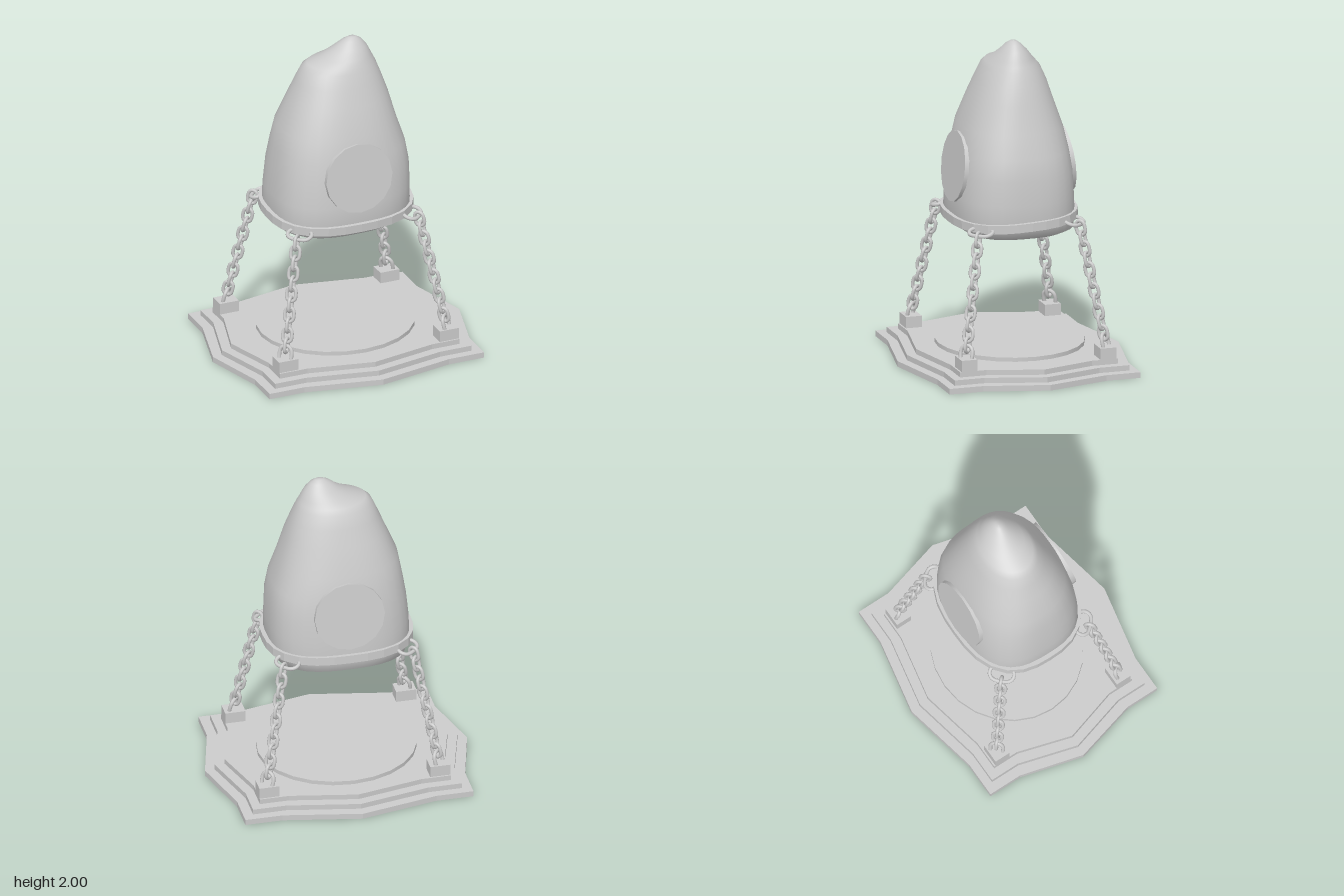
import * as THREE from 'three';

const mat = new THREE.MeshStandardMaterial({ color: 0xcccccc });

function mesh(geometry, name, parent) {
  const m = new THREE.Mesh(geometry, mat);
  m.name = name;
  parent.add(m);
  return m;
}

// Rounded-square outline (superellipse) as [x, z] points
function outline(rx, rz, n, count) {
  return Array.from({ length: count }, (_, i) => {
    const a = (i / count) * Math.PI * 2, c = Math.cos(a), s = Math.sin(a);
    const k = Math.pow(Math.abs(c) ** n + Math.abs(s) ** n, -1 / n);
    return new THREE.Vector2(c * k * rx, s * k * rz);
  });
}

// Smooth stone lofted through sections: [y, xMin, xMax, zBack, zFront, squareness]
function stoneGeometry() {
  const sections = [
    [0.82, -0.01, 0.01, -0.01, 0.01, 2.4],
    [0.82, -0.25, 0.25, -0.22, 0.2, 2.6],
    [0.825, -0.35, 0.35, -0.31, 0.29, 2.8],
    [0.855, -0.41, 0.41, -0.365, 0.335, 2.8],
    [0.93, -0.43, 0.43, -0.37, 0.36, 2.8],
    [1.05, -0.425, 0.43, -0.365, 0.355, 2.8],
    [1.2, -0.41, 0.425, -0.355, 0.345, 2.8],
    [1.33, -0.39, 0.405, -0.335, 0.325, 2.7],
    [1.47, -0.365, 0.36, -0.31, 0.3, 2.5],
    [1.64, -0.295, 0.315, -0.25, 0.24, 2.4],
    [1.75, -0.25, 0.28, -0.215, 0.2, 2.2],
    [1.83, -0.215, 0.25, -0.18, 0.165, 2.1],
    [1.86, -0.18, 0.235, -0.155, 0.145, 2],
    [1.89, -0.09, 0.22, -0.125, 0.12, 2],
    [1.94, -0.01, 0.195, -0.085, 0.08, 2],
    [1.98, 0.04, 0.16, -0.045, 0.045, 2],
    [1.998, 0.075, 0.13, -0.02, 0.02, 2],
    [2, 0.1, 0.105, -0.002, 0.002, 2],
  ];
  const count = 40, pos = [], index = [];
  sections.forEach(([y, x0, x1, z0, z1, n], r) => {
    for (const p of outline((x1 - x0) / 2, (z1 - z0) / 2, n, count)) {
      pos.push(p.x + (x0 + x1) / 2, y, p.y + (z0 + z1) / 2);
    }
    if (r === 0) return;
    for (let i = 0; i < count; i++) {
      const j = (i + 1) % count, lo = (r - 1) * count, hi = r * count;
      index.push(lo + i, hi + i, lo + j, lo + j, hi + i, hi + j);
    }
  });
  const g = new THREE.BufferGeometry();
  g.setAttribute('position', new THREE.Float32BufferAttribute(pos, 3));
  g.setIndex(index);
  g.computeVertexNormals();
  return g;
}

// Closed oval link in the XY plane, long axis on y
function linkGeometry(halfWidth, halfLength, tube) {
  const straight = halfLength - halfWidth, pts = [];
  for (let i = 0; i < 12; i++) {
    const a = ((i + 0.5) / 12) * Math.PI * 2;
    pts.push(new THREE.Vector3(Math.cos(a) * halfWidth, Math.sin(a) * halfWidth + Math.sign(Math.sin(a)) * straight, 0));
  }
  return new THREE.TubeGeometry(new THREE.CatmullRomCurve3(pts, true), 28, tube, 7, true);
}

// Orient a mesh so its y follows `long` and its x follows `side`
function orient(m, position, long, side) {
  const y = long.clone().normalize();
  const z = new THREE.Vector3().crossVectors(side, y).normalize();
  const x = new THREE.Vector3().crossVectors(y, z);
  m.quaternion.setFromRotationMatrix(new THREE.Matrix4().makeBasis(x, y, z));
  m.position.copy(position);
}

function createModel() {
  const model = new THREE.Group();
  model.name = 'chainedStone';

  // Stepped base: star-like plates mirrored from one quadrant
  const plates = [
    [0, 0.035, [[0.81, 0], [0.705, 0.39], [0.705, 0.605], [0.475, 0.605], [0, 0.7]]],
    [0.035, 0.068, [[0.75, 0], [0.645, 0.365], [0.645, 0.553], [0.44, 0.553], [0, 0.64]]],
    [0.068, 0.1, [[0.69, 0], [0.59, 0.335], [0.59, 0.5], [0.41, 0.5], [0, 0.582]]],
  ];
  for (const [y0, y1, q] of plates) {
    const back = q.slice(0, -1).reverse();
    const half = [...q, ...back.map(([x, z]) => [-x, z])];
    const full = [...half, ...half.slice(1, -1).reverse().map(([x, z]) => [x, -z])];
    const shape = new THREE.Shape(full.map(([x, z]) => new THREE.Vector2(x, z)));
    const g = new THREE.ExtrudeGeometry(shape, { depth: y1 - y0, bevelEnabled: false });
    g.rotateX(-Math.PI / 2);
    mesh(g, 'basePlate', model).position.y = y0;
  }

  // Round inset on the base
  const inset = mesh(new THREE.CylinderGeometry(1, 1, 0.03, 24), 'baseDisc', model);
  inset.scale.set(0.485, 1, 0.45);
  inset.position.set(0, 0.11, -0.01);

  // Hanging stone with a flat round panel on front and back
  mesh(stoneGeometry(), 'stone', model);
  for (const s of [1, -1]) {
    const panel = mesh(new THREE.CylinderGeometry(0.217, 0.217, 0.03, 16), s > 0 ? 'frontPanel' : 'backPanel', model);
    panel.rotation.x = s * (Math.PI / 2 - 0.12);
    panel.position.set(0, 1.22, s > 0 ? 0.333 : -0.343);
  }

  // Tilted band around the stone
  const band = new THREE.Shape(outline(0.457, 0.388, 2.6, 28));
  band.holes.push(new THREE.Path(outline(0.42, 0.35, 2.7, 28)));
  const bandGeometry = new THREE.ExtrudeGeometry(band, { depth: 0.052, bevelEnabled: false, curveSegments: 1 });
  bandGeometry.translate(0, 0, -0.026).rotateX(-Math.PI / 2);
  const bandMesh = mesh(bandGeometry, 'band', model);
  bandMesh.position.set(0, 0.924, -0.005);
  bandMesh.rotation.x = 0.046;

  // Four corner blocks, each with a shackle, a chain and a link on the band
  const link = linkGeometry(0.028, 0.044, 0.011);
  const shackle = linkGeometry(0.038, 0.055, 0.012);
  const bandLink = linkGeometry(0.045, 0.075, 0.012);
  for (const sx of [1, -1]) for (const sz of [1, -1]) {
    const corner = new THREE.Group();
    corner.name = 'cornerChain';
    model.add(corner);
    mesh(new THREE.BoxGeometry(0.125, 0.08, 0.1), 'anchorBlock', corner).position.set(sx * 0.528, 0.13, sz * 0.44);

    const lift = sz > 0 ? 0 : 0.02;
    const bottom = new THREE.Vector3(sx * 0.528, 0.19, sz * 0.44);
    const top = new THREE.Vector3(sx * 0.4, 0.89 + lift, sz * 0.32);
    const dir = top.clone().sub(bottom);
    const tangent = new THREE.Vector3(-sx * sz, 0, 1).normalize();
    const radial = new THREE.Vector3(sx, 0, sz).normalize();
    orient(mesh(shackle, 'shackle', corner), bottom, dir, tangent);
    const count = 11;
    for (let i = 0; i < count; i++) {
      const p = bottom.clone().addScaledVector(dir, 0.08 + (0.88 * i) / (count - 1));
      orient(mesh(link, 'chainLink', corner), p, dir, i % 2 ? tangent : radial);
    }
    const slope = radial.clone().setY(-0.3).normalize();
    const hold = new THREE.Vector3(sx * 0.37, 0.897 + lift, sz * 0.295);
    orient(mesh(bandLink, 'bandLink', corner), hold, tangent, slope);
  }
  return model;
}

export { createModel };
